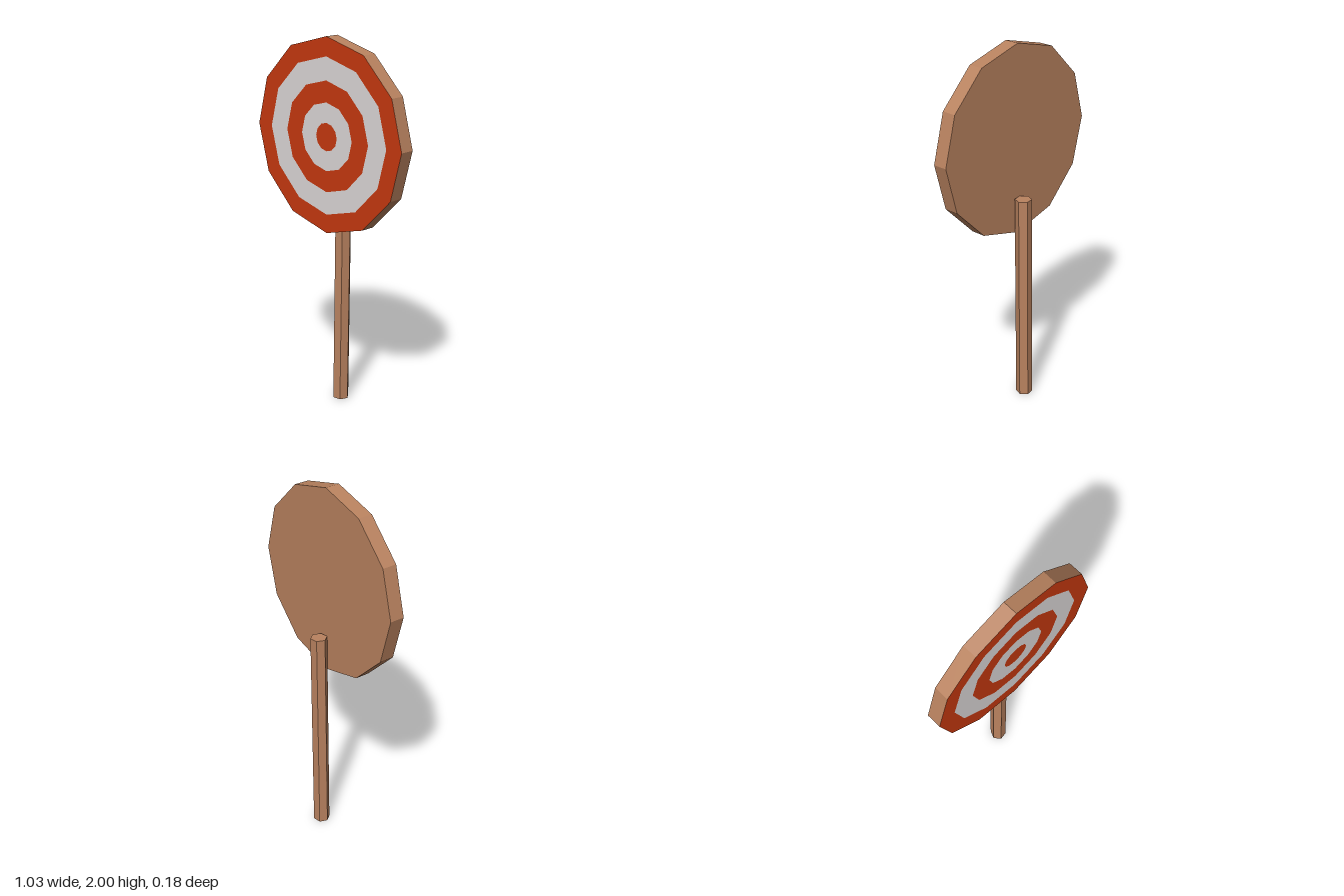
import * as THREE from 'three';

const SIDES = 12;
const RADIUS = 0.512;
const THICKNESS = 0.08;

export function createModel() {
  const material = (name, color) => {
    const m = new THREE.MeshStandardMaterial({ color, flatShading: true });
    m.name = name;
    return m;
  };
  const wood = material('wood', 0xb9825f);
  const red = material('red paint', 0xc5380f);
  const white = material('white paint', 0xdcd7d7);

  const model = new THREE.Group();
  model.name = 'target';
  const add = (parent, name, geometry, mat) => {
    const mesh = new THREE.Mesh(geometry, mat);
    mesh.name = name;
    parent.add(mesh);
    return mesh;
  };

  // Twelve-sided board, turned slightly on its post
  const board = new THREE.Group();
  board.name = 'board';
  board.position.set(0, 1.488, 0.033);
  board.rotation.y = -0.034;
  model.add(board);

  const rim = new THREE.CylinderGeometry(RADIUS, RADIUS, THICKNESS, SIDES, 1, true);
  add(board, 'boardRim', rim.rotateX(Math.PI / 2), wood);
  const back = new THREE.CircleGeometry(RADIUS, SIDES).rotateY(Math.PI);
  add(board, 'boardBack', back.translate(0, 0, -THICKNESS / 2), wood);

  // Painted rings from the rim to the bullseye
  const radii = [RADIUS, 0.412, 0.291, 0.179, 0.074, 0];
  for (let i = 0; i < radii.length - 1; i++) {
    const inner = radii[i + 1];
    const ring = inner > 0
      ? new THREE.RingGeometry(inner, radii[i], SIDES)
      : new THREE.CircleGeometry(radii[i], SIDES);
    ring.translate(0, 0, THICKNESS / 2);
    add(board, inner > 0 ? `ring${i + 1}` : 'bullseye', ring, i % 2 ? white : red);
  }

  // Hexagonal post behind the board, leaning a little
  const post = new THREE.CylinderGeometry(0.045, 0.045, 1.178, 6).rotateY(0.64);
  const postMesh = add(model, 'post', post, wood);
  postMesh.position.set(-0.001, 0.59, -0.048);
  postMesh.rotation.set(-0.003, 0, -0.013);

  return model;
}
